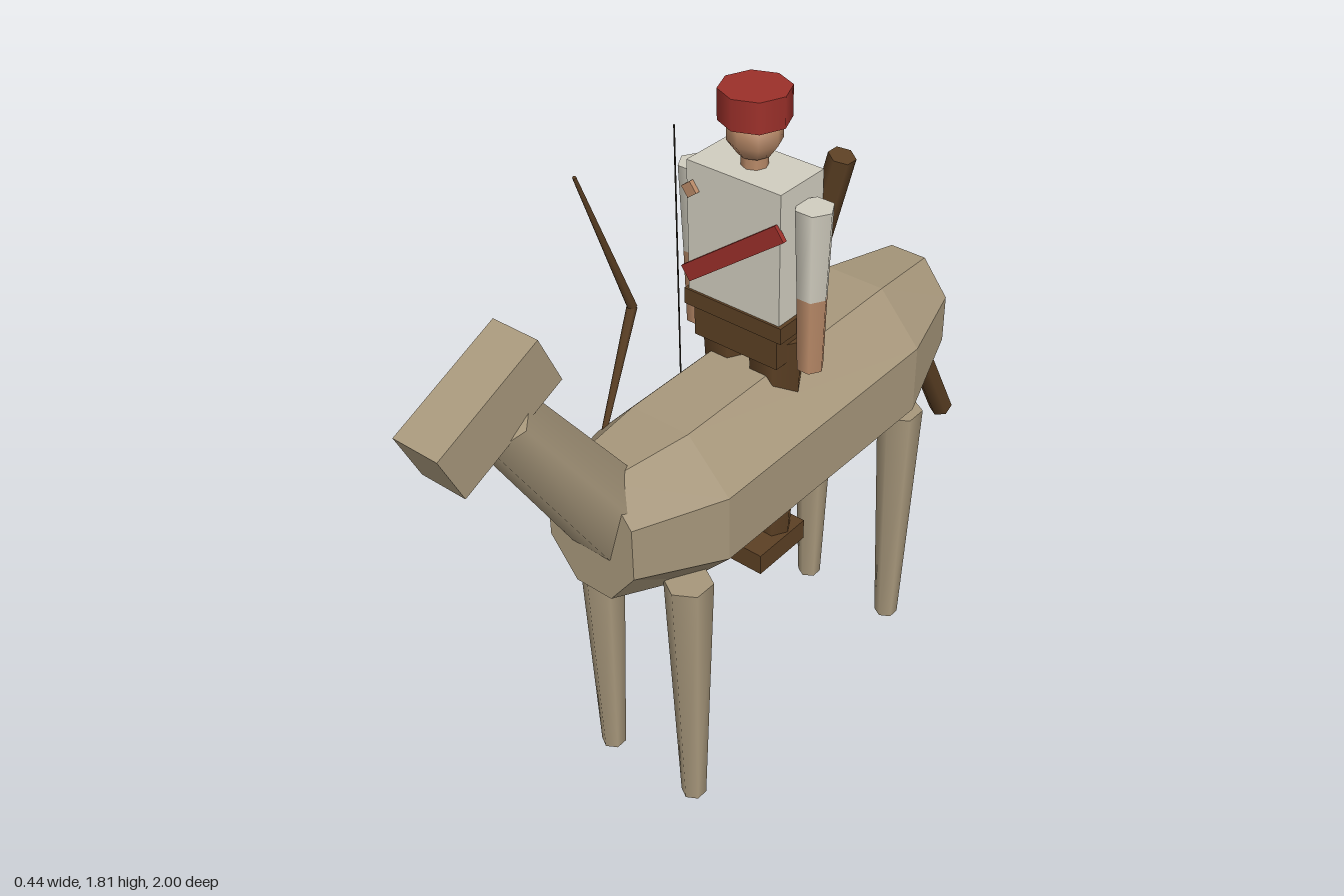
import * as THREE from 'three';

const mat = (name, color) => {
  const m = new THREE.MeshStandardMaterial({ color });
  m.name = name;
  return m;
};

export function createModel() {
  const hide = mat('tan hide', 0xa8987c);
  const brown = mat('dark brown', 0x5c4024);
  const cloth = mat('off-white cloth', 0xd2cec0);
  const skin = mat('skin', 0xb98a68);
  const red = mat('red cloth', 0x9c302a);
  const dark = mat('dark string', 0x2e2820);

  const model = new THREE.Group();
  model.name = 'riderOnSteed';

  const add = (parent, name, geo, material, x = 0, y = 0, z = 0) => {
    const m = new THREE.Mesh(geo, material);
    m.name = name;
    m.position.set(x, y, z);
    parent.add(m);
    return m;
  };
  const box = (parent, name, size, pos, material) =>
    add(parent, name, new THREE.BoxGeometry(...size), material, ...pos);

  // Tapered six-sided limb from point a to point b; twist turns a corner sideways
  const limb = (parent, name, a, b, ra, rb, material, twist = 0, sides = 6) => {
    const p = new THREE.Vector3(...a), q = new THREE.Vector3(...b);
    const dir = q.clone().sub(p);
    const geo = new THREE.CylinderGeometry(rb, ra, dir.length(), sides).rotateY(twist);
    const m = add(parent, name, geo, material);
    m.position.copy(p).add(q).multiplyScalar(0.5);
    m.quaternion.setFromUnitVectors(new THREE.Vector3(0, 1, 0), dir.normalize());
    return m;
  };
  const side = Math.PI / 6;

  // ---- Steed ----
  const steed = new THREE.Group();
  steed.name = 'steed';
  model.add(steed);

  // Faceted barrel: octagonal rings as [z, centre y, half width radius, half height radius]
  const rings = [
    [0.55, 0.93, 0.14, 0.187],
    [0.30, 0.883, 0.222, 0.238],
    [-0.47, 0.885, 0.222, 0.252],
    [-0.72, 0.917, 0.14, 0.177],
  ];
  const barrel = new THREE.CylinderGeometry(1, 1, 1, 8, 3, false, Math.PI / 8)
    .rotateX(Math.PI / 2).toNonIndexed();
  const v = barrel.attributes.position;
  for (let i = 0; i < v.count; i++) {
    const [z, cy, rx, ry] = rings[Math.round((0.5 - v.getZ(i)) * 3)];
    v.setXYZ(i, v.getX(i) * rx, cy + v.getY(i) * ry, z);
  }
  barrel.computeVertexNormals();
  add(steed, 'body', barrel, hide);

  limb(steed, 'neck', [0, 0.936, 0.47], [0, 1.398, 0.786], 0.115, 0.082, hide, side);
  box(steed, 'head', [0.125, 0.138, 0.315], [0, 1.442, 0.83], hide).rotation.x = 0.43;
  limb(steed, 'tail', [0, 0.848, -0.735], [0, 0.422, -0.967], 0.034, 0.034, brown);

  for (const s of [-1, 1]) {
    for (const [name, z] of [['frontLeg', 0.377], ['hindLeg', -0.508]]) {
      limb(steed, name, [s * 0.142, 0, z], [s * 0.142, 0.74, z], 0.033, 0.0615, hide);
    }
  }

  // ---- Rider ----
  const rider = new THREE.Group();
  rider.name = 'rider';
  model.add(rider);
  const rz = -0.048;

  box(rider, 'torso', [0.27, 0.345, 0.158], [0, 1.448, rz], cloth);
  box(rider, 'belt', [0.29, 0.043, 0.17], [0, 1.257, rz], brown);
  box(rider, 'hips', [0.25, 0.088, 0.145], [0, 1.193, rz], brown);
  limb(rider, 'riderNeck', [0, 1.61, rz], [0, 1.67, rz], 0.032, 0.032, skin, 0, 8);
  add(rider, 'riderHead', new THREE.SphereGeometry(0.068, 8, 5), skin, 0, 1.705, rz);
  add(rider, 'cap', new THREE.CylinderGeometry(0.085, 0.085, 0.076, 8), red, 0, 1.772, rz);

  for (const s of [-1, 1]) {
    const x = s * 0.17;
    limb(rider, 'sleeve', [x, 1.34, rz], [x, 1.57, rz], 0.039, 0.048, cloth, side);
    limb(rider, 'forearm', [x, 1.14, rz], [x, 1.34, rz], 0.034, 0.039, skin, side);
    const lx = s * 0.07;
    limb(rider, 'riderLeg', [lx, 0.59, rz], [lx, 1.2, rz], 0.045, 0.074, brown, side);
    box(rider, 'boot', [0.1, 0.06, 0.183], [lx, 0.565, -0.02], brown);
  }

  // Diagonal sash and shoulder clasp on the chest
  box(rider, 'sash', [0.345, 0.043, 0.012], [0, 1.425, 0.034], red).rotation.z = 0.64;
  box(rider, 'clasp', [0.032, 0.032, 0.02], [-0.12, 1.553, 0.033], skin).rotation.z = 0.65;

  // Quiver slung across the back
  limb(rider, 'quiver', [0.07, 1.302, -0.16], [0.16, 1.648, -0.16], 0.033, 0.033, brown);

  // Bow: two tapered limbs meeting at the grip, and its upright string
  const bow = new THREE.Group();
  bow.name = 'bow';
  rider.add(bow);
  const grip = [-0.17, 1.295, 0.195];
  for (const y of [1.698, 0.892]) {
    limb(bow, 'bowLimb', grip, [-0.17, y, 0.355], 0.013, 0.005, brown);
  }
  limb(bow, 'bowString', [-0.17, 0.895, 0.03], [-0.17, 1.695, 0.03], 0.002, 0.002, dark);

  return model;
}
